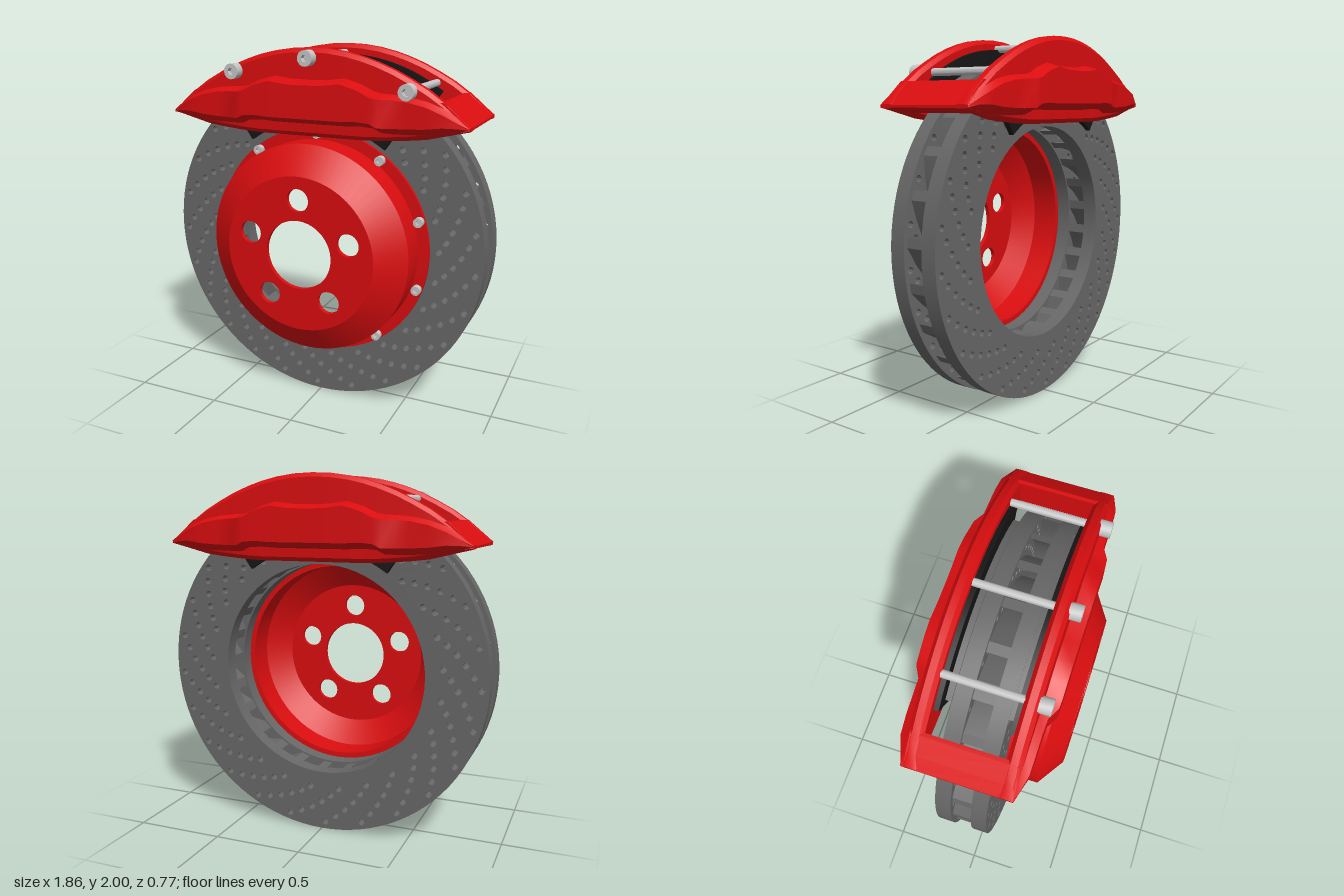
import * as THREE from 'three';
import { toCreasedNormals } from 'three/addons/utils/BufferGeometryUtils.js';

const CY = 0.935;      // height of the disc axis
const CZ = -0.035;     // mid plane of the disc and caliper
const DEG = Math.PI / 180;

const red = new THREE.MeshStandardMaterial({ color: 0xdb0d0f });
red.name = 'red paint';
const iron = new THREE.MeshStandardMaterial({ color: 0x686868 });
iron.name = 'grey iron';
const black = new THREE.MeshStandardMaterial({ color: 0x161616 });
black.name = 'black backing';
const silver = new THREE.MeshStandardMaterial({ color: 0xc6c6c6 });
silver.name = 'silver steel';

const polar = (r, a) => new THREE.Vector2(r * Math.cos(a), r * Math.sin(a));

function add(parent, name, geo, mat, x = 0, y = 0, z = 0) {
  const mesh = new THREE.Mesh(toCreasedNormals(geo, 28 * DEG), mat);
  mesh.name = name;
  mesh.position.set(x, y, z);
  parent.add(mesh);
  return mesh;
}

function circle(Type, r, x = 0, y = 0) {
  const s = new Type();
  s.absarc(x, y, r, 0, Math.PI * 2, false);
  return s;
}

// Plate between two z values
function plate(shape, z0, z1, segments) {
  const g = new THREE.ExtrudeGeometry(shape, { depth: z1 - z0, bevelEnabled: false, curveSegments: segments });
  return g.translate(0, 0, z0);
}

// Ring with extra holes, each hole polygon given as points
function ring(rOut, rIn, holes, holeR, sides) {
  const s = new THREE.Shape();
  const loop = (r, n, x = 0, y = 0) =>
    Array.from({ length: n }, (_, i) => polar(r, (i / n) * Math.PI * 2).add(new THREE.Vector2(x, y)));
  s.setFromPoints(loop(rOut, 96));
  s.holes.push(new THREE.Path(loop(rIn, 72)));
  for (const h of holes) s.holes.push(new THREE.Path(loop(holeR, sides, h.x, h.y)));
  return s;
}

// Round bolt head with a hexagonal socket
function bolt(parent, name, r, z0, z1, x, y) {
  const s = circle(THREE.Shape, r);
  s.holes.push(new THREE.Path(Array.from({ length: 6 }, (_, i) => polar(r * 0.5, i * 60 * DEG))));
  add(parent, name, plate(s, z0, z1, 10), silver, x, y);
  const base = plate(circle(THREE.Shape, r * 0.9), z0, z0 + (z1 - z0) * 0.5, 8);
  add(parent, name + 'Socket', base, silver, x, y);
}

// Skin through equal-sized cross-sections ordered along +x
function loft(sections) {
  const n = sections[0].length, pos = sections.flat(2), idx = [];
  for (let i = 0; i < sections.length - 1; i++) {
    for (let j = 0; j < n; j++) {
      const a = i * n + j, b = i * n + (j + 1) % n;
      idx.push(a, a + n, b + n, a, b + n, b);
    }
  }
  const e = (sections.length - 1) * n;
  for (let j = 1; j < n - 1; j++) idx.push(0, j, j + 1, e, e + j + 1, e + j);
  const g = new THREE.BufferGeometry();
  g.setAttribute('position', new THREE.Float32BufferAttribute(pos, 3));
  g.setIndex(idx);
  return g;
}

function buildDisc() {
  const disc = new THREE.Group();
  disc.name = 'disc';
  disc.position.y = CY;

  // Drilled friction rings
  const rows = 25, step = 360 / rows, holes = [];
  for (let k = 0; k < rows; k++) {
    for (let j = 0; j < 6; j++) {
      holes.push(polar(0.688 + j * 0.0404, (-113.1 + k * step + j * 4.32) * DEG));
    }
  }
  const face = ring(0.93, 0.59, holes, 0.0185, 10);
  add(disc, 'frontRing', plate(face, 0.022, 0.105), iron);
  add(disc, 'rearRing', plate(face, -0.172, -0.088), iron);

  // Spiral cooling vanes between the rows of holes
  const sweep = (r) => -113.1 + step / 2 + ((r - 0.688) / 0.202) * 21.6;
  const side = (w) => Array.from({ length: 7 }, (_, i) => {
    const r = 0.6 + i * 0.051;
    return polar(r, (sweep(r) + w / r) * DEG);
  });
  const vane = plate(new THREE.Shape([...side(-1.5), ...side(1.5).reverse()]), -0.088, 0.022);
  for (let k = 0; k < rows; k++) add(disc, 'vane', vane, iron).rotation.z = k * step * DEG;
  return disc;
}

function buildHat() {
  const hat = new THREE.Group();
  hat.name = 'hat';
  hat.position.y = CY;

  // Flange, wall and chamfer
  const profile = [[0.56, 0.105], [0.64, 0.105], [0.64, 0.125], [0.58, 0.125], [0.58, 0.28],
    [0.425, 0.385], [0.425, 0.36], [0.56, 0.268], [0.56, 0.105]];
  const wall = new THREE.LatheGeometry(profile.map((p) => new THREE.Vector2(...p)), 72);
  add(hat, 'hatWall', wall.rotateX(Math.PI / 2), red);

  // Mounting face with centre bore and five stud holes
  const studs = Array.from({ length: 5 }, (_, i) => polar(0.3, (90 + i * 72) * DEG));
  add(hat, 'hatFace', plate(ring(0.427, 0.19, studs, 0.062, 28), 0.36, 0.385), red);

  for (let i = 0; i < 10; i++) {
    const p = polar(0.613, (90 + i * 36) * DEG);
    bolt(hat, 'flangeBolt', 0.026, 0.124, 0.16, p.x, p.y);
  }
  return hat;
}

function buildCaliper() {
  const caliper = new THREE.Group();
  caliper.name = 'caliper';
  caliper.position.z = CZ;

  // Half stations: x, bottom, bulge bottom, bulge top, top, bulge depth
  const half = [
    [0, 1.545, 1.625, 1.84, 2.0, 0.348],
    [0.1, 1.545, 1.625, 1.842, 1.996, 0.348],
    [0.2, 1.545, 1.625, 1.855, 1.982, 0.348],
    [0.29, 1.545, 1.63, 1.83, 1.961, 0.348],
    [0.36, 1.548, 1.625, 1.797, 1.939, 0.348],
    [0.4, 1.55, 1.605, 1.79, 1.924, 0.345],
    [0.46, 1.555, 1.603, 1.787, 1.9, 0.312],
    [0.54, 1.562, 1.605, 1.78, 1.861, 0.31],
    [0.63, 1.573, 1.61, 1.762, 1.812, 0.31],
    [0.72, 1.595, 1.622, 1.728, 1.75, 0.308],
    [0.79, 1.612, 1.63, 1.68, 1.692, 0.288],
    [0.845, 1.625, 1.632, 1.64, 1.645, 0.27],
  ];
  const stations = [...half.slice(1).reverse().map(([x, ...r]) => [-x, ...r]), ...half];
  const cheek = loft(stations.map(([x, yB, yL, yW, yT, b]) => {
    const o = Math.min(0.022, (yT - yB) * 0.15);
    return [[yB, 0.25], [yB + o, 0.27], [Math.max(yL - o * 0.5, yB + o), 0.272], [yL + o, b],
      [yW - o, b], [yW, 0.272], [Math.max(yT - o, yW + 0.002), 0.27], [yT, 0.25],
      [yT, 0.215], [yT - o, 0.195], [yB + o, 0.195], [yB, 0.215]].map(([y, z]) => [x, y, z]);
  }));

  // Wedge joining the cheeks at each end
  const wedge = new THREE.Shape([[0.69, 1.602], [0.845, 1.628], [0.845, 1.64], [0.79, 1.69], [0.71, 1.757], [0.69, 1.757]]
    .map((p) => new THREE.Vector2(...p)));
  const bridge = plate(wedge, -0.26, 0.26);

  for (const [side, turn] of [['front', 0], ['rear', Math.PI]]) {
    add(caliper, side + 'Cheek', cheek, red).rotation.y = turn;
    add(caliper, turn ? 'rightBridge' : 'leftBridge', bridge, red).rotation.y = turn;
  }

  // Brake pads: backing plate and friction block
  const sector = (r0, r1, a) => {
    const s = new THREE.Shape();
    s.absarc(0, 0, r1, Math.PI / 2 - a, Math.PI / 2 + a, false);
    s.absarc(0, 0, r0, Math.PI / 2 + a, Math.PI / 2 - a, true);
    return s;
  };
  for (const turn of [0, Math.PI]) {
    add(caliper, 'padBacking', plate(sector(0.68, 1.01, 35 * DEG), 0.17, 0.197, 24), black, 0, CY).rotation.y = turn;
    add(caliper, 'padFriction', plate(sector(0.7, 0.925, 33 * DEG), 0.14, 0.17, 24), iron, 0, CY).rotation.y = turn;
  }

  // Cross pins with bolt heads on the front cheek
  for (const [x, y] of [[-0.435, 1.87], [0, 1.95], [0.54, 1.805]]) {
    const pin = new THREE.CylinderGeometry(0.02, 0.02, 0.44, 20).rotateX(Math.PI / 2);
    add(caliper, 'crossPin', pin, silver, x, y);
    bolt(caliper, 'pinHead', 0.041, 0.262, 0.325, x, y);
  }
  return caliper;
}

export function createModel() {
  const model = new THREE.Group();
  model.name = 'discBrake';
  model.add(buildDisc(), buildHat(), buildCaliper());
  return model;
}
